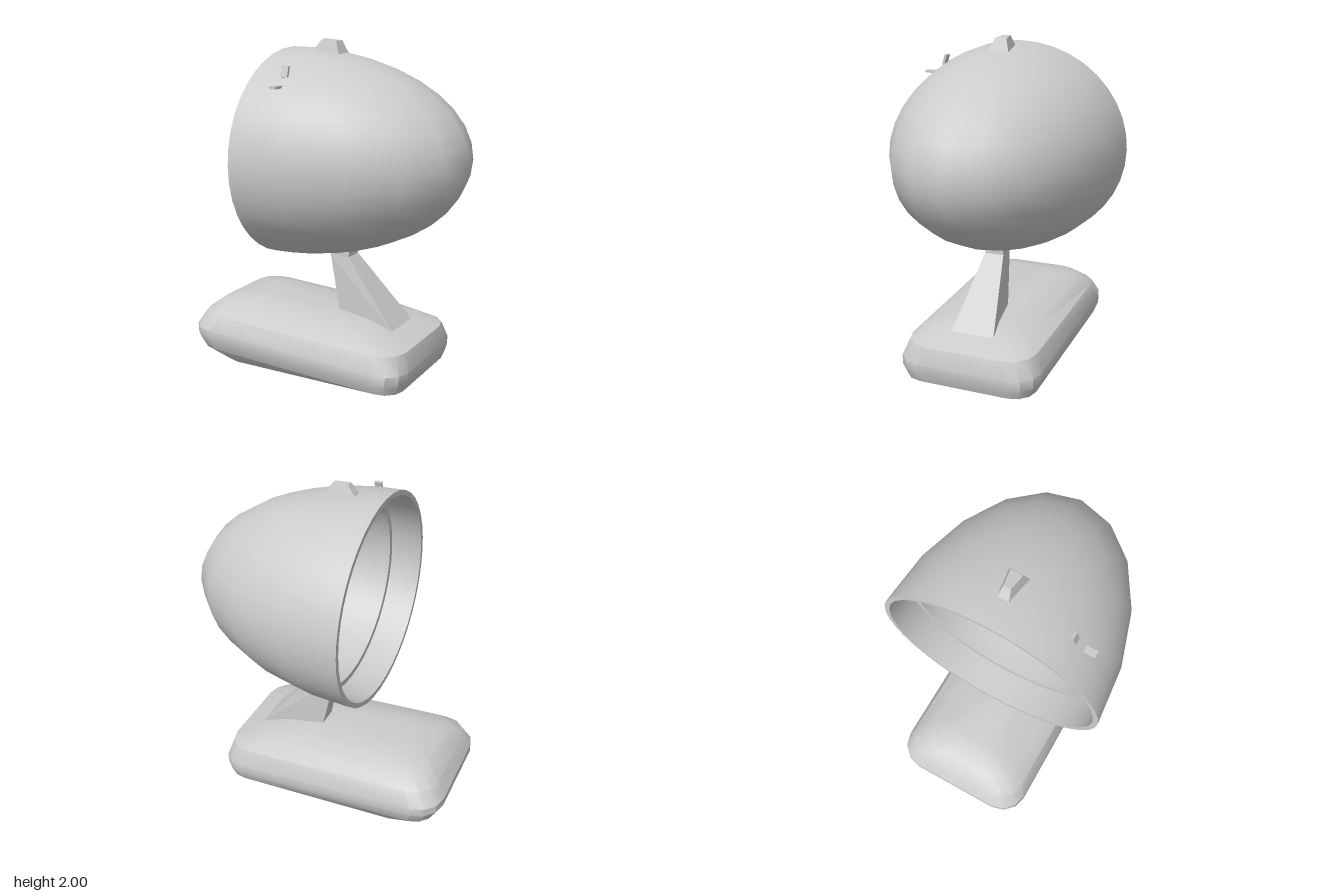
import * as THREE from 'three';
import { toCreasedNormals } from 'three/addons/utils/BufferGeometryUtils.js';
import { ConvexGeometry } from 'three/addons/geometries/ConvexGeometry.js';

const RIM_X = -0.31, AXIS_Y = 1.32, R_Z = 0.692, R_Y = 0.628;
const grey = new THREE.MeshStandardMaterial({ color: 0xcccccc });
const greyDouble = new THREE.MeshStandardMaterial({ color: 0xcccccc, side: THREE.DoubleSide });

function addMesh(parent, name, geometry, material = grey) {
  const mesh = new THREE.Mesh(geometry, material);
  mesh.name = name;
  parent.add(mesh);
  return mesh;
}

// Tapered block from trapezoid ends: each corner pair is [x, y, half depth]
function taperedBlock(pairs) {
  return new ConvexGeometry(pairs.flatMap(([x, y, hz]) => [
    new THREE.Vector3(x, y, hz), new THREE.Vector3(x, y, -hz),
  ]));
}

// Rounded, tilted foot lofted from rounded rectangles stacked upwards
function baseGeometry() {
  // x start, x end, half depth, y at start, y at end, corner radius
  const layers = [
    [-0.62, 0.52, 0.36, 0.0, 0.0, 0.10],
    [-0.79, 0.59, 0.41, 0.08, 0.02, 0.13],
    [-0.84, 0.615, 0.44, 0.16, 0.08, 0.16],
    [-0.84, 0.62, 0.44, 0.21, 0.14, 0.16],
    [-0.79, 0.59, 0.40, 0.30, 0.245, 0.16],
    [-0.70, 0.45, 0.31, 0.37, 0.305, 0.14],
    [-0.55, 0.30, 0.17, 0.40, 0.345, 0.10],
  ];
  const steps = 3, n = 4 * (steps + 1);
  const positions = [], index = [];
  for (const [x0, x1, hz, y0, y1, r] of layers) {
    for (let c = 0; c < 4; c++) {
      const right = c === 0 || c === 3, front = c < 2;
      for (let s = 0; s <= steps; s++) {
        const a = (c + s / steps) * Math.PI / 2;
        const x = (right ? x1 - r : x0 + r) + r * Math.cos(a);
        const z = (front ? hz - r : r - hz) + r * Math.sin(a);
        positions.push(x, y0 + (y1 - y0) * (x - x0) / (x1 - x0), z);
      }
    }
  }
  for (let l = 0; l < layers.length - 1; l++) {
    for (let i = 0; i < n; i++) {
      const j = (i + 1) % n, a = l * n, b = a + n;
      index.push(a + i, b + i, b + j, a + i, b + j, a + j);
    }
  }
  // Flat caps
  const top = (layers.length - 1) * n;
  for (let i = 1; i < n - 1; i++) {
    index.push(0, i, i + 1, top, top + i + 1, top + i);
  }
  const g = new THREE.BufferGeometry();
  g.setAttribute('position', new THREE.Float32BufferAttribute(positions, 3));
  g.setIndex(index);
  return toCreasedNormals(g, 0.5);
}

// Hollow half ellipsoid opening towards -x
function createShade() {
  const shade = new THREE.Group();
  shade.name = 'shade';
  shade.position.set(RIM_X, AXIS_Y, 0);

  const outer = new THREE.SphereGeometry(1, 10, 20, Math.PI / 2, Math.PI);
  outer.scale(1.15, R_Y, R_Z);
  addMesh(shade, 'outerShell', outer);

  // Rim, short inner wall, ledge and inner bowl: [radius, depth]
  const profile = [[R_Z, 0], [0.66, 0], [0.648, 0.19], [0.61, 0.19], [0.61, 0.22]];
  for (let i = 1; i <= 10; i++) {
    const a = i / 10 * Math.PI / 2;
    profile.push([0.61 * Math.cos(a), 0.22 + 0.85 * Math.sin(a)]);
  }
  const lining = new THREE.LatheGeometry(profile.map(([r, d]) => new THREE.Vector2(Math.max(r, 0), d)), 40);
  lining.rotateZ(-Math.PI / 2);
  lining.scale(1, R_Y / R_Z, 1);
  addMesh(shade, 'innerLining', toCreasedNormals(lining, 0.6), greyDouble);
  return shade;
}

export function createModel() {
  const model = new THREE.Group();
  model.name = 'model';

  addMesh(model, 'base', baseGeometry());
  addMesh(model, 'stalk', taperedBlock([
    [-0.02, 0.70, 0.05], [0.11, 0.70, 0.06],
    [0.06, 0.31, 0.07], [0.45, 0.30, 0.135],
  ]));
  addMesh(model, 'stalkTop', taperedBlock([
    [-0.025, 0.76, 0.05], [0.11, 0.76, 0.057],
    [-0.02, 0.69, 0.05], [0.11, 0.69, 0.06],
  ]));
  model.add(createShade());

  // Small fin on the crown
  addMesh(model, 'topFin', taperedBlock([
    [-0.09, 2.0, 0.022], [0.01, 1.99, 0.037],
    [-0.14, 1.935, 0.036], [0.045, 1.905, 0.066],
  ]));

  // Two small tabs on the front side
  const upper = addMesh(model, 'upperTab', new THREE.BoxGeometry(0.045, 0.065, 0.015));
  upper.position.set(-0.107, 1.835, 0.408);
  upper.rotation.x = -0.3;
  const lower = addMesh(model, 'lowerTab', new THREE.BoxGeometry(0.042, 0.015, 0.075));
  lower.position.set(-0.107, 1.757, 0.502);
  return model;
}
